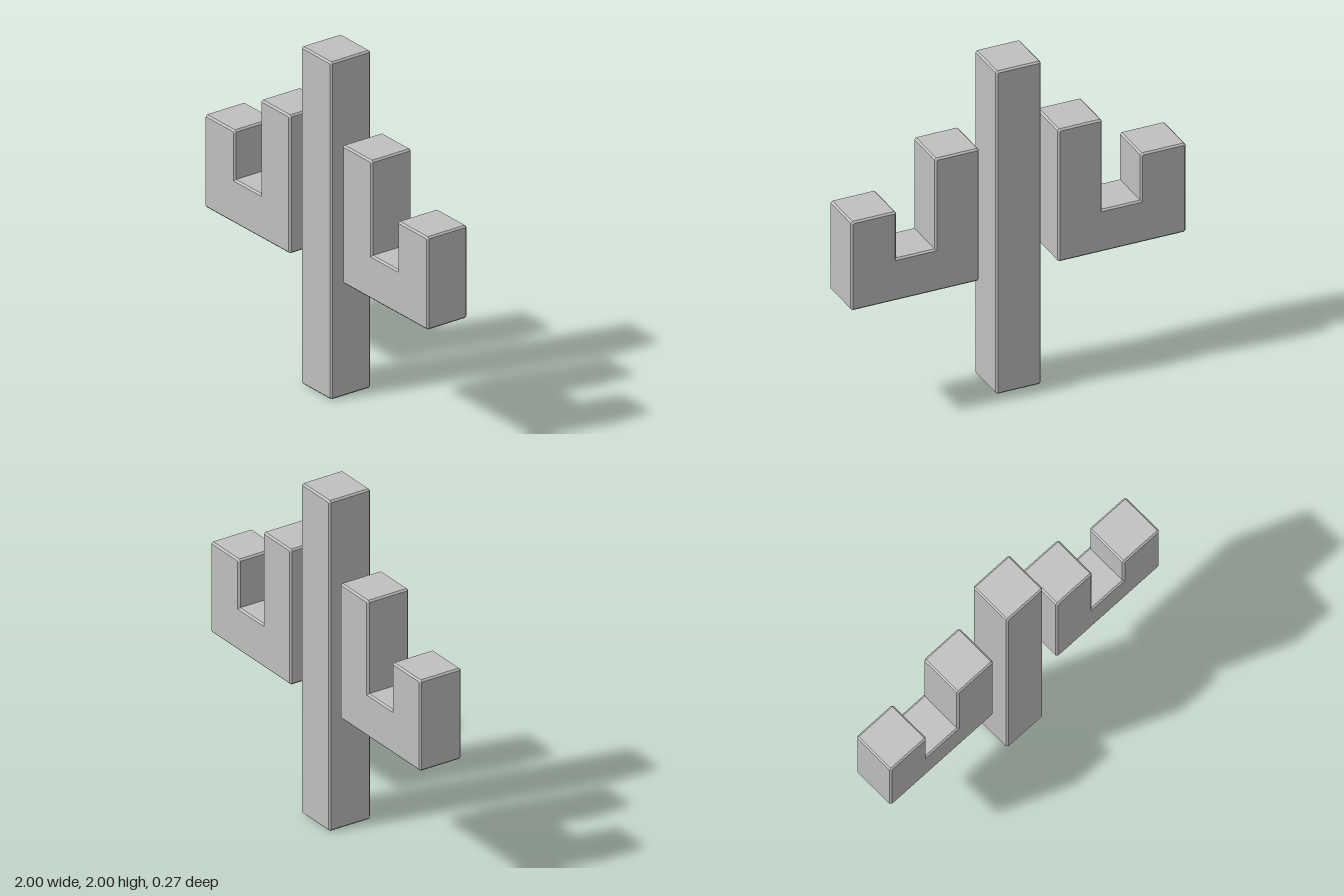
import * as THREE from 'three';

const BEVEL = 0.01;
const HALF_DEPTH = 0.135;

// Cuts the convex corners of a counter-clockwise outline, leaving inner corners sharp
function chamfer(points) {
  const v = points.map(([x, y]) => new THREE.Vector2(x, y));
  return v.flatMap((p, i) => {
    const toPrev = v[(i + v.length - 1) % v.length].clone().sub(p).normalize();
    const toNext = v[(i + 1) % v.length].clone().sub(p).normalize();
    if (toNext.cross(toPrev) < 0) return [p];
    return [toPrev, toNext].map((d) => p.clone().addScaledVector(d, BEVEL));
  });
}

// Bevelled slab whose outer size matches the outline
function slab(name, points, material, side = 1) {
  const outline = chamfer(points).map((p) => new THREE.Vector2(p.x * side, p.y));
  const geometry = new THREE.ExtrudeGeometry(new THREE.Shape(outline), {
    depth: 2 * (HALF_DEPTH - BEVEL),
    bevelEnabled: true,
    bevelSize: BEVEL,
    bevelThickness: BEVEL,
    bevelOffset: -BEVEL,
    bevelSegments: 1,
  });
  geometry.translate(0, 0, BEVEL - HALF_DEPTH);
  const mesh = new THREE.Mesh(geometry, material);
  mesh.name = name;
  return mesh;
}

export function createModel() {
  const model = new THREE.Group();
  model.name = 'cactus';
  const grey = new THREE.MeshStandardMaterial({ color: 0xc0c0c0 });
  grey.name = 'light grey';

  // Central post
  const post = [[-0.135, 0], [0.135, 0], [0.135, 2], [-0.135, 2]];
  model.add(slab('post', post, grey));

  // U-shaped arms, taller next to the post
  const arm = [
    [0.235, 0.73], [1, 0.73], [1, 1.28], [0.73, 1.28],
    [0.73, 0.99], [0.5, 0.99], [0.5, 1.55], [0.235, 1.55],
  ];
  model.add(slab('leftArm', arm, grey, 1), slab('rightArm', arm, grey, -1));
  return model;
}
